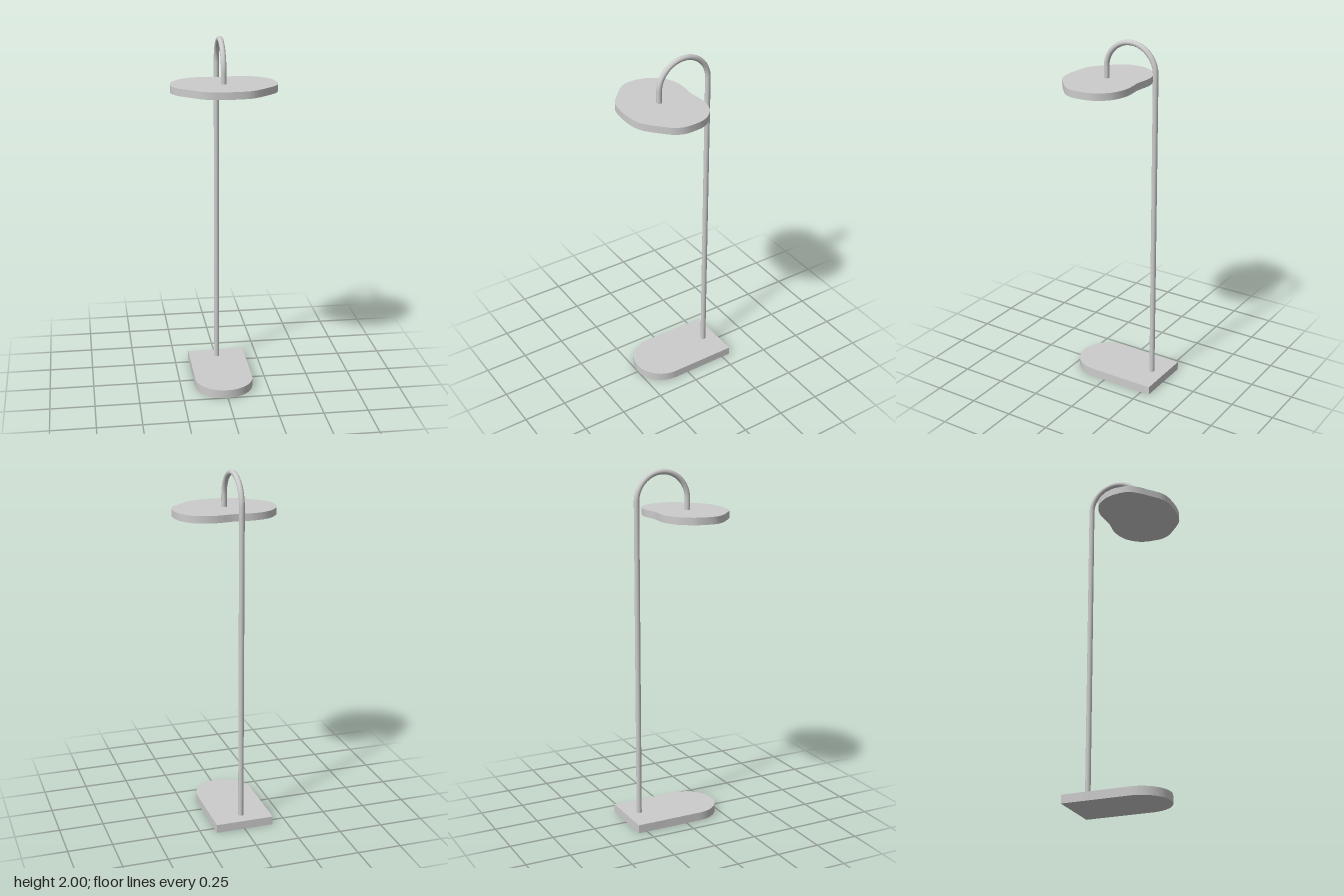
import * as THREE from 'three';
import { toCreasedNormals } from 'three/addons/utils/BufferGeometryUtils.js';

const material = new THREE.MeshStandardMaterial({ color: 0xcccccc });

function part(name, geometry) {
  const mesh = new THREE.Mesh(geometry, material);
  mesh.name = name;
  return mesh;
}

// Horizontal slab from an outline whose shape y points to -z
function slab(name, shape, bottom, top) {
  const geometry = new THREE.ExtrudeGeometry(shape, { depth: top - bottom, bevelEnabled: false, curveSegments: 24 });
  geometry.rotateX(-Math.PI / 2).translate(0, bottom, 0);
  return part(name, toCreasedNormals(geometry, 0.5));
}

export function createModel() {
  const group = new THREE.Group();
  const poleX = -0.003, tube = 0.015, bend = 0.153, bendZ = -0.069, bendY = 1.832;
  const baseTop = 0.048, shadeBottom = 1.731, shadeTop = 1.771;

  // Base: square at the back, half round at the front
  const base = new THREE.Shape();
  base.moveTo(0.164, 0.302);
  base.lineTo(-0.168, 0.302);
  base.lineTo(-0.168, -0.084);
  base.absarc(-0.002, -0.084, 0.166, Math.PI, Math.PI * 2, false);
  base.closePath();
  group.add(slab('base', base, 0, baseTop));

  // Pole, bend and drop
  function rod(name, z, bottom, top) {
    const mesh = part(name, new THREE.CylinderGeometry(tube, tube, top - bottom, 20));
    mesh.position.set(poleX, (top + bottom) / 2, z);
    return mesh;
  }
  group.add(rod('pole', bendZ - bend, baseTop, bendY));
  group.add(rod('drop', bendZ + bend, shadeTop, bendY));
  const arch = part('poleBend', new THREE.TorusGeometry(bend, tube, 20, 40, Math.PI));
  arch.rotation.y = Math.PI / 2;
  arch.position.set(poleX, bendY, bendZ);
  group.add(arch);

  // Pebble-shaped head, outline as x, z
  const outline = [
    [0, -0.112], [0.05, -0.117], [0.1, -0.121], [0.15, -0.114], [0.198, -0.097], [0.226, -0.077],
    [0.255, -0.046], [0.275, -0.012], [0.284, 0.024], [0.288, 0.07], [0.286, 0.115],
    [0.264, 0.165], [0.225, 0.205], [0.155, 0.265], [0.12, 0.285], [0.08, 0.295],
    [0.015, 0.3], [-0.05, 0.296], [-0.1, 0.288], [-0.142, 0.269], [-0.21, 0.21], [-0.25, 0.174],
    [-0.285, 0.118], [-0.289, 0.07], [-0.284, 0.024], [-0.273, -0.013], [-0.25, -0.047],
    [-0.225, -0.077], [-0.192, -0.099], [-0.15, -0.114], [-0.1, -0.121], [-0.05, -0.117],
  ].map(([x, z]) => new THREE.Vector3(x, -z, 0));
  const curve = new THREE.CatmullRomCurve3(outline, true);
  const points = curve.getPoints(64).slice(0, -1);
  const head = new THREE.Shape(points.map((p) => new THREE.Vector2(p.x, p.y)));
  group.add(slab('head', head, shadeBottom, shadeTop));

  return group;
}
